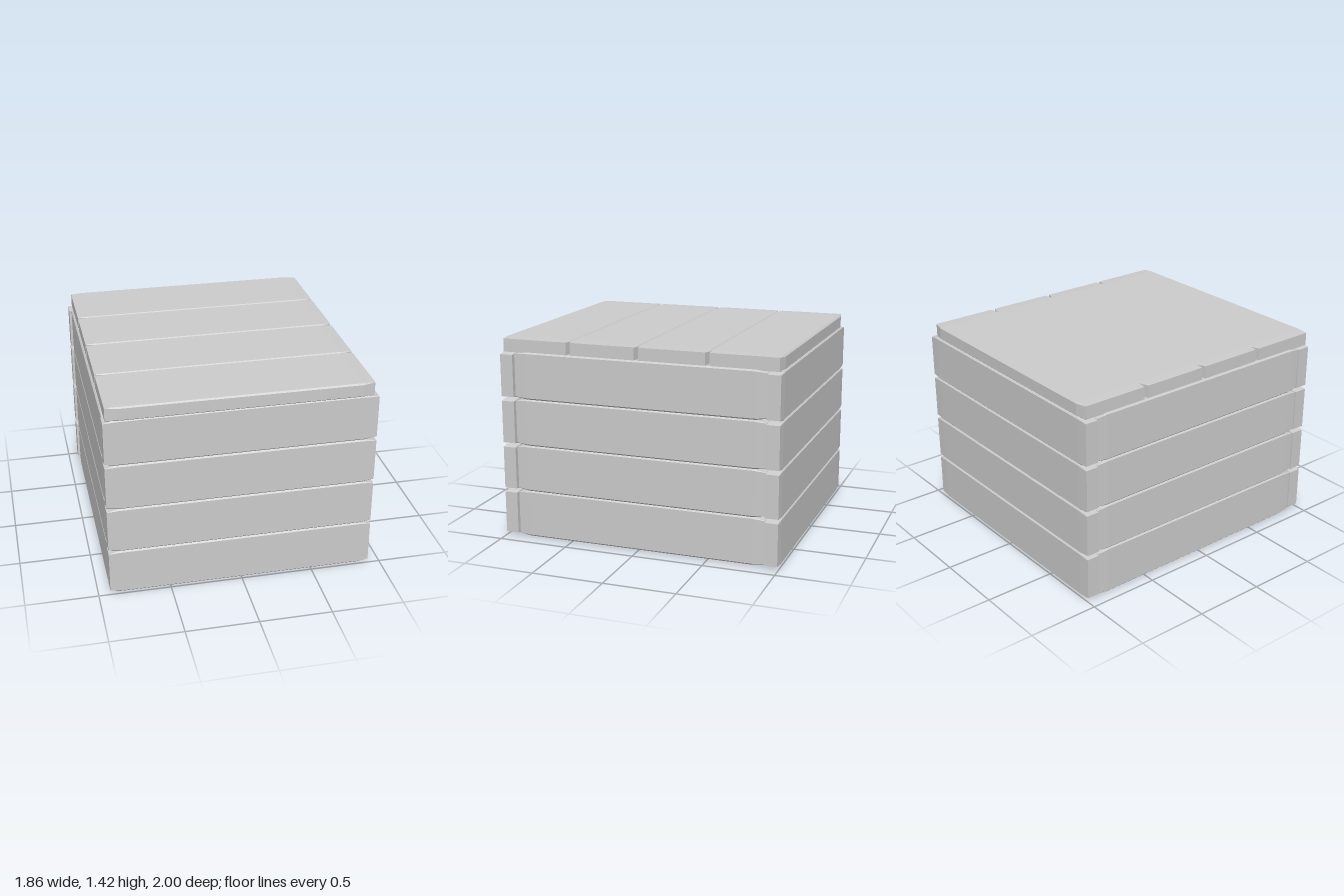
import * as THREE from 'three';

const material = new THREE.MeshStandardMaterial({ color: 0xcccccc, flatShading: true });

// Plank along x, width in y, thickness in z: chamfered long edges, tapered ends
function plankGeometry(length, width, thickness, taper = 0.08) {
  const section = (w, t, c) => [
    [w, -t + c], [w, t - c], [w - c, t], [-w + c, t],
    [-w, t - c], [-w, -t + c], [-w + c, -t], [w - c, -t],
  ];
  const mid = section(width / 2, thickness / 2, 0.01);
  const end = section(width / 2 - 0.016, thickness / 2 - 0.004, 0.001);
  const half = length / 2;
  const rings = [[-half, end], [-half + taper, mid], [half - taper, mid], [half, end]]
    .map(([x, pts]) => pts.map(([y, z]) => [x, y, z]));
  const pos = [];
  const tri = (...corners) => corners.forEach((p) => pos.push(...p));
  for (let i = 0; i < 3; i++) {
    for (let k = 0; k < 8; k++) {
      const n = (k + 1) % 8;
      tri(rings[i][k], rings[i][n], rings[i + 1][n]);
      tri(rings[i][k], rings[i + 1][n], rings[i + 1][k]);
    }
  }
  for (let k = 1; k < 7; k++) {
    tri(rings[3][0], rings[3][k], rings[3][k + 1]);
    tri(rings[0][0], rings[0][k + 1], rings[0][k]);
  }
  const geometry = new THREE.BufferGeometry();
  geometry.setAttribute('position', new THREE.Float32BufferAttribute(pos, 3));
  geometry.computeVertexNormals();
  return geometry;
}

// Four planks side by side; edges lists the five seam positions across the panel
function panel(name, length, thickness, edges, orient, place) {
  const group = new THREE.Group();
  group.name = name;
  for (let i = 0; i < 4; i++) {
    const geometry = plankGeometry(length, edges[i + 1] - edges[i], thickness);
    orient(geometry);
    const mesh = new THREE.Mesh(geometry, material);
    mesh.name = `${name}Plank${i + 1}`;
    mesh.position.set(...place((edges[i] + edges[i + 1]) / 2));
    group.add(mesh);
  }
  return group;
}

export function createModel() {
  const crate = new THREE.Group();
  crate.name = 'crate';
  const upright = () => {};
  const sideways = (g) => g.rotateY(Math.PI / 2);
  const flat = (g) => g.rotateX(-Math.PI / 2);
  const flatAcross = (g) => g.rotateX(-Math.PI / 2).rotateY(Math.PI / 2);
  const wall = [0.012, 0.34, 0.67, 1.0, 1.328];

  crate.add(
    // Front and back walls overlap the ends of the side walls
    panel('frontWall', 1.835, 0.1, wall, upright, (y) => [-0.002, y, 0.95]),
    panel('backWall', 1.855, 0.1, wall, upright, (y) => [-0.002, y, -0.95]),
    // Side walls, the right one hanging slightly lower
    panel('leftWall', 1.8, 0.1, [0.006, 0.34, 0.67, 1.0, 1.33], sideways, (y) => [0.845, y, 0]),
    panel('rightWall', 1.8, 0.1, [0, 0.34, 0.67, 1.0, 1.33], sideways, (y) => [-0.867, y, 0]),
    // Lid planks run left to right
    panel('lid', 1.785, 0.1, [-0.99, -0.49, 0.005, 0.5, 1.0], flat, (z) => [-0.01, 1.371, z]),
    // Floor planks run front to back, slightly recessed
    panel('floor', 1.8, 0.08, [-0.82, -0.415, -0.01, 0.395, 0.8], flatAcross, (x) => [x, 0.065, 0]),
  );
  return crate;
}
